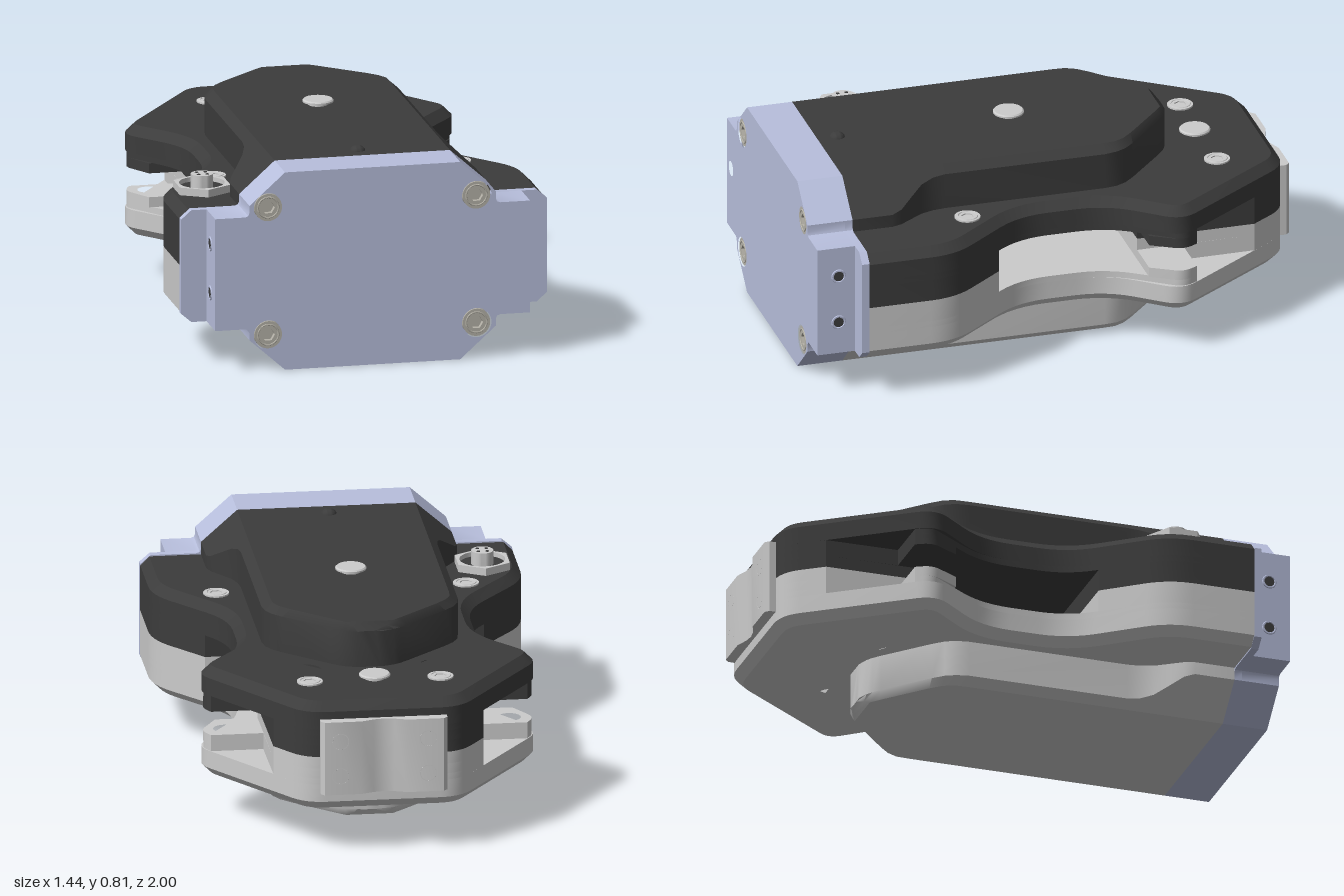
import * as THREE from 'three';
import { toCreasedNormals } from 'three/addons/utils/BufferGeometryUtils.js';

const MID = 0.3925; // height of the mirror plane between the two shells
const mat = (color) => new THREE.MeshStandardMaterial({ color });
const grey = mat(0xcccccc), black = mat(0x3c3c3c), blue = mat(0xb8bfdd), steel = mat(0xb5b2a8);

function add(parent, name, geo, material, pos = [0, 0, 0], rot = [0, 0, 0]) {
  const mesh = new THREE.Mesh(toCreasedNormals(geo, 0.6), material);
  mesh.name = name;
  mesh.position.set(...pos);
  mesh.rotation.set(...rot);
  parent.add(mesh);
  return mesh;
}

function surface(tris) {
  const g = new THREE.BufferGeometry();
  g.setAttribute('position', new THREE.Float32BufferAttribute(tris.flat(), 3));
  g.computeVertexNormals();
  return g;
}

// Rounds the corners of a half outline [x, z, radius] and mirrors it across x = 0.
function outline(half) {
  const pts = [];
  half.forEach(([x, z, r], i) => {
    if (!r) return pts.push([x, z]);
    const p = new THREE.Vector2(x, z);
    const toward = (q) => new THREE.Vector2(q[0], q[1]).sub(p).setLength(r).add(p);
    const prev = half[i - 1] || [0, z];
    new THREE.QuadraticBezierCurve(toward(prev), p, toward(half[i + 1])).getPoints(6)
      .forEach((v) => pts.push([v.x, v.y]));
  });
  return [...pts, ...pts.map(([x, z]) => [-x, z]).reverse()];
}

const circle = (x, y, r) => new THREE.Path().absarc(x, y, r, 0, Math.PI * 2, true);
const hexagon = (r, turn = 0) => Array.from({ length: 6 }, (_, i) =>
  new THREE.Vector2(r * Math.cos(turn + i * Math.PI / 3), r * Math.sin(turn + i * Math.PI / 3)));

function extrude(shape, holes, depth) {
  shape.holes.push(...holes);
  return new THREE.ExtrudeGeometry(shape, { depth, bevelEnabled: false, curveSegments: 24 });
}

// Horizontal plate between two heights; holes are [x, z, r], mirrored.
function slab(pts, y0, y1, holes = []) {
  const shape = new THREE.Shape(pts.map(([x, z]) => new THREE.Vector2(x, -z)));
  const paths = holes.flatMap(([x, z, r]) => [circle(x, -z, r), circle(-x, -z, r)]);
  return extrude(shape, paths, y1 - y0).rotateX(-Math.PI / 2).translate(0, y0, 0);
}

// Moves an outline inwards, keeping its front edge in place.
function inset(pts, d) {
  const n = pts.length;
  const normal = (a, b) => new THREE.Vector2(a[1] - b[1], b[0] - a[0]).normalize();
  return pts.map((p, i) => {
    const a = normal(pts[(i + n - 1) % n], p), b = normal(p, pts[(i + 1) % n]);
    const m = a.clone().add(b).multiplyScalar(d / (1 + a.dot(b)));
    return [p[0] + m.x, p[1] > 0.8 ? p[1] : p[1] + m.y];
  });
}

function chamferRing(pts, inner, y0, y1) {
  const tris = [];
  pts.forEach((p, i) => {
    const j = (i + 1) % pts.length;
    if (p[1] > 0.8 && pts[j][1] > 0.8) return;
    const o0 = [p[0], y0, p[1]], o1 = [pts[j][0], y0, pts[j][1]];
    const n0 = [inner[i][0], y1, inner[i][1]], n1 = [inner[j][0], y1, inner[j][1]];
    tris.push(...o1, ...o0, ...n0, ...o1, ...n0, ...n1);
  });
  return surface(tris);
}

// Raised platform lofted from chamfered cross-sections: [z, half width, top height].
function platform() {
  const T = 0.785;
  const stations = [[0.82, 0.485, T], [0.66, 0.485, T], [0.62, 0.472, T], [0.57, 0.437, T], [0.52, 0.403, T],
    [0.47, 0.386, T], [0.42, 0.38, T], [-0.22, 0.38, T], [-0.27, 0.372, T], [-0.31, 0.352, T], [-0.35, 0.315, T],
    [-0.5, 0.15, T], [-0.525, 0.12, T], [-0.54, 0.095, 0.772], [-0.555, 0.05, 0.755]];
  const rings = stations.map(([z, w, top]) => {
    const cx = Math.min(0.345, w - 0.03);
    const cy = Math.min(top - 0.002, 0.755, T - (w - 0.345) * 0.89);
    return [[-w, 0.58, z], [-w, cy, z], [-cx, top, z], [cx, top, z], [w, cy, z], [w, 0.58, z]];
  });
  const tris = [];
  for (let s = 0; s < rings.length - 1; s++) for (let i = 0; i < 5; i++) {
    const a = rings[s][i], b = rings[s][i + 1], c = rings[s + 1][i + 1], d = rings[s + 1][i];
    tris.push(...a, ...b, ...c, ...a, ...c, ...d);
  }
  const e = rings[rings.length - 1];
  for (let i = 1; i < 5; i++) tris.push(...e[0], ...e[i], ...e[i + 1]);
  return surface(tris);
}

// Upper shell: full deck, side pockets, corner lugs and the through window.
function shell(name, material) {
  const g = new THREE.Group();
  g.name = name;
  const tail = [0.3, -0.96, 0.08], pocket = [[0.407, -0.81], [0.41, -0.52]];
  const lug = [[0.612, -0.52], [0.645, -0.46, 0.04]];
  const flank = [[0.46, -0.2, 0.12], [0.46, 0.15, 0.12], [0.72, 0.475, 0.1], [0.72, 0.82]];
  const full = outline([tail, [0.665, -0.45, 0.08], ...flank]);
  const through = [0.25, -0.56, 0.06], pivot = [0.55, -0.45, 0.045];
  const inner = inset(full, 0.035);
  add(g, 'deckSide', slab(full, 0.505, 0.575, [through]), material);
  add(g, 'deckTop', slab(inner, 0.54, 0.61, [through]), material);
  add(g, 'deckChamfer', chamferRing(full, inner, 0.575, 0.61), material);
  add(g, 'pocketLayer', slab(outline([tail, ...pocket, ...lug, ...flank]), 0.48, 0.505, [through, pivot]), material);
  add(g, 'lugLayer', slab(outline([tail, ...pocket, ...lug, [0.575, -0.34]]), 0.44, 0.48, [through, pivot]), material);
  add(g, 'rearCore', slab(outline([tail, pocket[0], [0.41, -0.34]]), MID, 0.44, [through]), material);
  add(g, 'frontCore', slab(outline([[0.54, 0.25], [0.72, 0.475, 0.1], [0.72, 0.82]]), MID, 0.48), material);
  add(g, 'platform', platform(), material);
  return g;
}

// Socket head screw facing +z, its base at the given position.
function screw(parent, name, r, h, pos, rot, material = grey) {
  const g = new THREE.Group();
  g.name = name;
  const head = new THREE.Shape().absarc(0, 0, r, 0, Math.PI * 2);
  add(g, 'screwHead', extrude(head, [new THREE.Path(hexagon(r * 0.48))], h), material);
  add(g, 'socketFloor', new THREE.CircleGeometry(r * 0.6, 24), material, [0, 0, h * 0.3]);
  add(g, 'headRim', new THREE.TorusGeometry(r * 0.75, r * 0.06, 6, 28), material, [0, 0, h]);
  g.position.set(...pos);
  g.rotation.set(...rot);
  parent.add(g);
}

function frontPlate(root) {
  const profile = (quarter) => {
    const right = [...quarter, ...quarter.map(([x, y]) => [x, 2 * MID - y]).reverse()];
    return new THREE.Shape([...right, ...right.map(([x, y]) => [-x, y]).reverse()]
      .map(([x, y]) => new THREE.Vector2(x, y)));
  };
  const crown = [[0.345, 0.785], [0.485, 0.66], [0.485, 0.632], [0.49, 0.62], [0.502, 0.615]];
  const g = new THREE.Group();
  g.name = 'frontPlate';
  root.add(g);
  add(g, 'plateFlange', extrude(profile([...crown, [0.68, 0.615], [0.72, 0.58]]), [], 0.03), blue, [0, 0, 0.82]);
  const holes = [];
  for (const s of [-1, 1]) {
    holes.push(circle(s * 0.565, 0.425, 0.03));
    for (const y of [0.142, 0.648]) {
      holes.push(circle(s * 0.41, y, 0.058));
      screw(g, 'plateScrew', 0.054, 0.03, [s * 0.41, y, 0.966], [0, 0, 0], steel);
    }
    for (const y of [0.3, 0.495]) {
      add(g, 'sideHole', new THREE.CircleGeometry(0.02, 20), black, [s * 0.622, y, 0.915], [0, s * Math.PI / 2, 0]);
      add(g, 'sideHoleRim', new THREE.TorusGeometry(0.025, 0.004, 6, 24), blue, [s * 0.62, y, 0.915], [0, Math.PI / 2, 0]);
    }
  }
  add(g, 'plateBlock', extrude(profile([...crown, [0.62, 0.615]]), holes, 0.15), blue, [0, 0, 0.85]);
}

function rearBracket(root) {
  const pts = [[-0.245, -0.95], [-0.245, -0.985], [-0.23, -1], [-0.09, -1], [-0.04, -0.982], [0, -0.976]];
  const all = [...pts, ...pts.slice(0, -1).map(([x, z]) => [-x, z]).reverse()];
  add(root, 'rearBracket', slab(all, 0.25, 0.545), grey);
  for (const x of [-0.17, 0.17]) for (const y of [0.325, 0.465]) {
    screw(root, 'bracketScrew', 0.042, 0.008, [x, y, -0.99], [0, Math.PI, 0]);
  }
}

function connector(root) {
  const g = new THREE.Group();
  g.name = 'connector';
  g.position.set(-0.57, 0.61, 0.55);
  root.add(g);
  const nut = extrude(new THREE.Shape(hexagon(0.115, Math.PI / 6)), [circle(0, 0, 0.088)], 0.03);
  add(g, 'hexNut', nut, grey, [0, 0, 0], [-Math.PI / 2, 0, 0]);
  add(g, 'connectorInsert', new THREE.CylinderGeometry(0.088, 0.088, 0.012, 32), black, [0, 0.006, 0]);
  add(g, 'connectorPost', new THREE.CylinderGeometry(0.043, 0.043, 0.066, 28), grey, [0, 0.033, 0]);
  for (const x of [-0.017, 0.017]) for (const z of [-0.017, 0.017]) {
    add(g, 'contact', new THREE.CylinderGeometry(0.007, 0.007, 0.002, 10), black, [x, 0.067, z]);
  }
}

export function createModel() {
  const root = new THREE.Group();
  root.add(shell('upperShell', black));
  const lower = shell('lowerShell', grey);
  lower.scale.y = -1;
  lower.position.y = 2 * MID;
  root.add(lower);

  frontPlate(root);
  rearBracket(root);
  connector(root);

  // Deck screws
  for (const [x, z] of [[0.253, -0.705], [0.483, 0.36]]) for (const s of [-1, 1]) {
    screw(root, 'deckScrew', 0.05, 0.006, [s * x, 0.61, z], [-Math.PI / 2, 0, 0]);
  }
  // Mushroom buttons and the small indicator dome
  const button = [[0.038, 0], [0.038, 0.008], [0.06, 0.012], [0.06, 0.018], [0.055, 0.023], [0, 0.023]]
    .map(([x, y]) => new THREE.Vector2(x, y));
  add(root, 'topButton', new THREE.LatheGeometry(button, 32), grey, [0, 0.785, 0.055]);
  add(root, 'rearButton', new THREE.LatheGeometry(button, 32), grey, [0, 0.61, -0.69]);
  add(root, 'indicatorDome', new THREE.SphereGeometry(0.032, 24, 12), black, [0, 0.773, 0.74]);
  return root;
}
